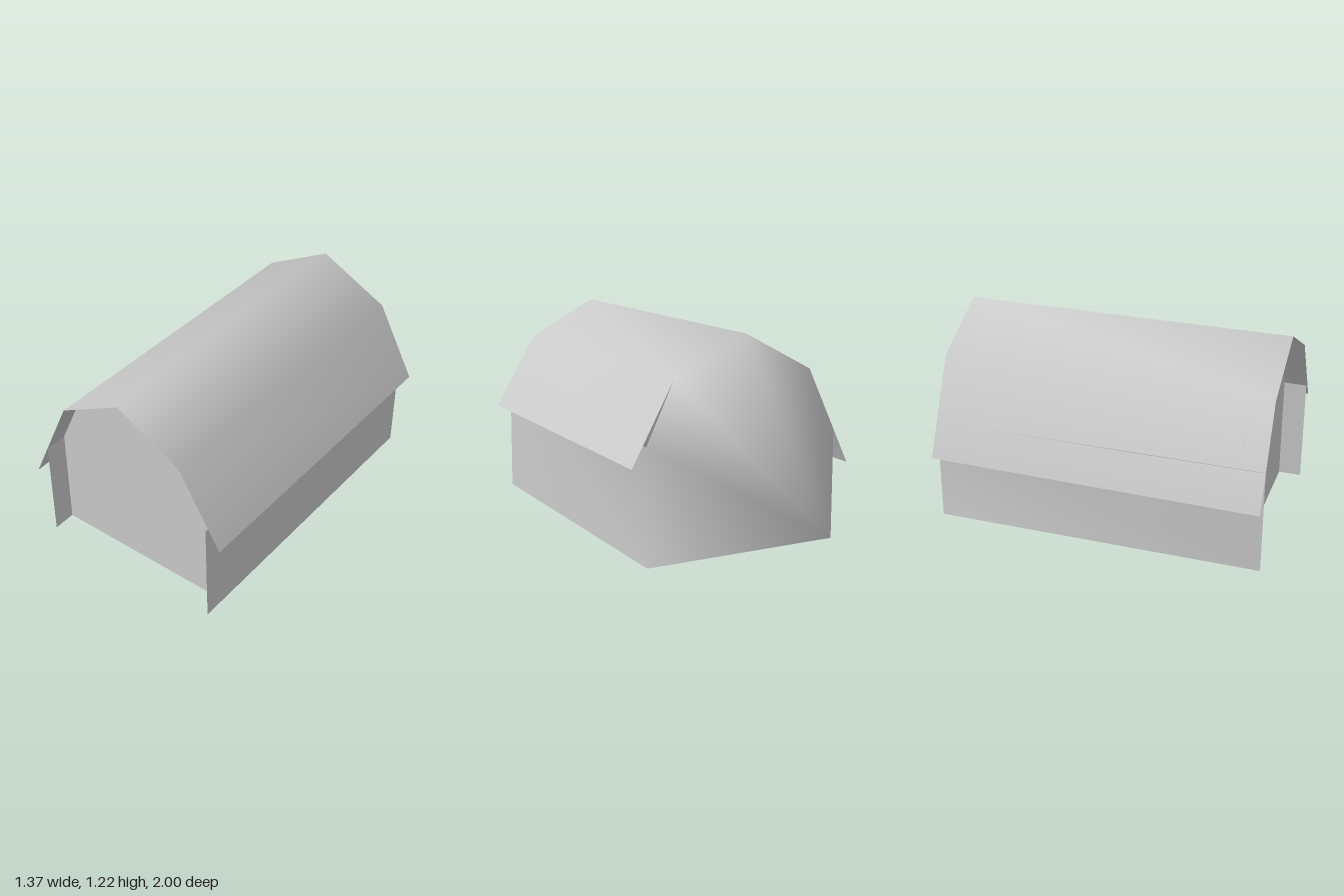
import * as THREE from 'three';

export function createModel() {
  const group = new THREE.Group();
  group.name = 'barn';
  const paint = new THREE.MeshStandardMaterial({ color: 0xcccccc, side: THREE.DoubleSide });
  paint.name = 'plainGrey';

  // Cross-sections at the front and back ends, from the -x side over the ridge to +x
  const names = ['baseL', 'topL', 'eaveL', 'kneeL', 'ridge', 'kneeR', 'eaveR', 'topR', 'baseR'];
  const front = [[-0.59, 0], [-0.586, 0.64], [-0.688, 0.42], [-0.415, 1], [0, 1.22], [0.415, 1], [0.685, 0.55], [0.59, 0.65], [0.595, 0]];
  const back = [[-0.59, 0], [-0.588, 0.64], [-0.685, 0.44], [-0.415, 1], [0, 1.22], [0.44, 1], [0.685, 0.55], [0.6, 0.66], [0.595, 0]];
  const n = names.length;
  const points = [];
  front.forEach(([x, y]) => points.push(x, y, 1));
  back.forEach(([x, y]) => points.push(x, y, -1));
  const id = (name) => names.indexOf(name);

  // A panel running from front to back between two profile points
  const panel = (a, b) => {
    const i = id(a), j = id(b);
    return [i, j, j + n, i, j + n, i + n];
  };

  const parts = {
    roof: [
      ...panel('eaveL', 'kneeL'), ...panel('kneeL', 'ridge'),
      ...panel('ridge', 'kneeR'), ...panel('kneeR', 'eaveR'),
    ],
    leftWall: panel('topR', 'baseR'),
    rightWall: panel('baseL', 'topL'),
    backWall: [],
  };

  // Back wall as a fan around the gable outline
  const gable = ['baseL', 'topL', 'kneeL', 'ridge', 'kneeR', 'topR', 'baseR'];
  for (let i = 1; i < gable.length - 1; i++) {
    parts.backWall.push(id(gable[0]) + n, id(gable[i]) + n, id(gable[i + 1]) + n);
  }

  // Roof and walls share their corners, so shading flows smoothly between them
  const shell = new THREE.BufferGeometry();
  shell.setAttribute('position', new THREE.Float32BufferAttribute(points, 3));
  shell.setIndex(Object.values(parts).flat());
  shell.computeVertexNormals();

  for (const [name, index] of Object.entries(parts)) {
    const geometry = new THREE.BufferGeometry();
    geometry.setAttribute('position', shell.getAttribute('position'));
    geometry.setAttribute('normal', shell.getAttribute('normal'));
    geometry.setIndex(index);
    const mesh = new THREE.Mesh(geometry, paint);
    mesh.name = name;
    group.add(mesh);
  }

  // Flat front wall, set back under the roof
  const outline = gable.map((name) => new THREE.Vector2(...front[id(name)]));
  const frontWall = new THREE.Mesh(new THREE.ShapeGeometry(new THREE.Shape(outline)), paint);
  frontWall.name = 'frontWall';
  frontWall.position.z = 0.86;
  group.add(frontWall);

  return group;
}
